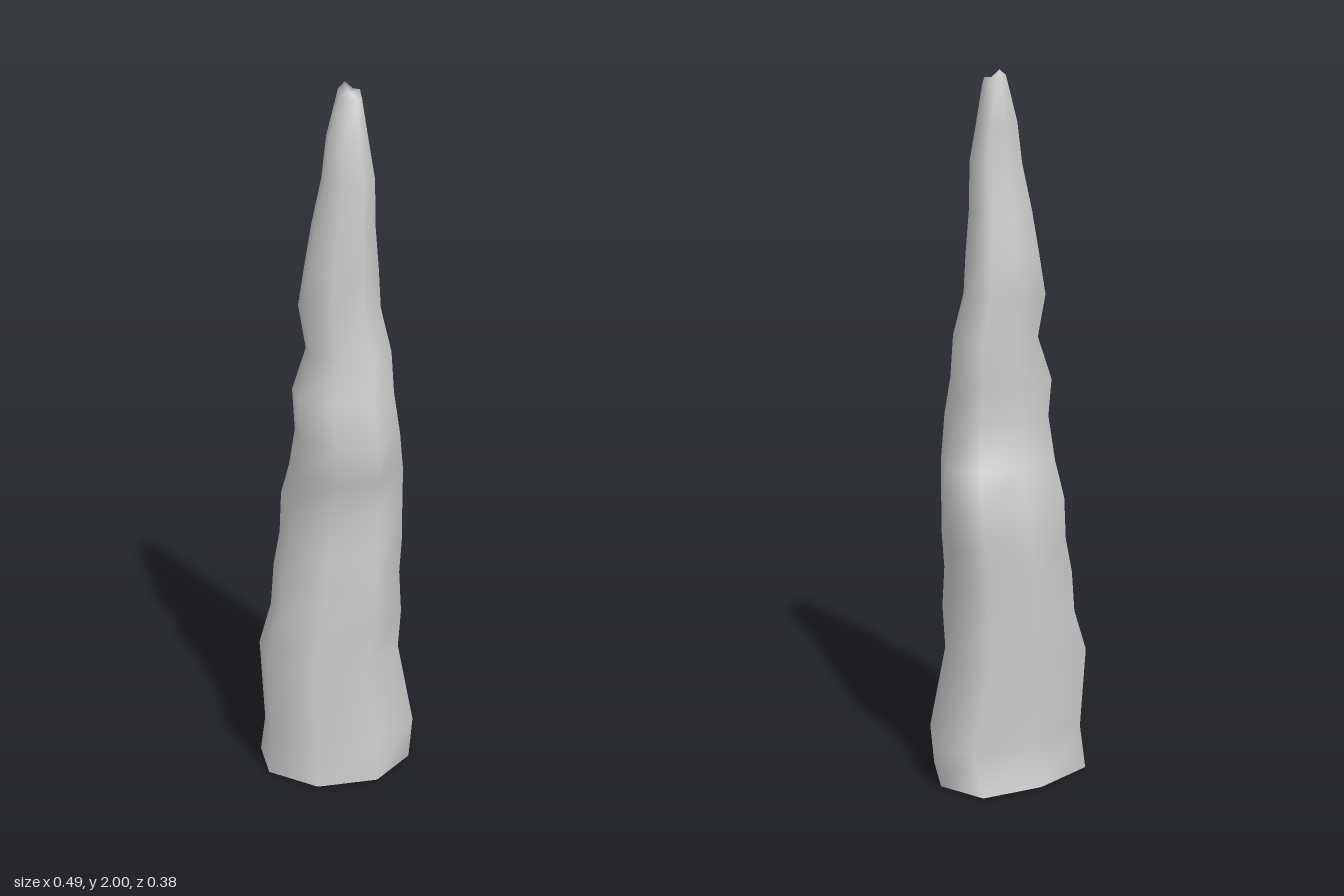
import * as THREE from 'three';

// Eight-sided outline of one ring, scaled to each ring's extents
const OUTLINE = [
  [1, -0.22], [0.72, 0.62], [0.08, 1], [-0.64, 0.74],
  [-1, 0], [-0.82, -0.7], [-0.03, -1], [0.74, -0.92],
];

// Rings from base to tip: height, min x, max x, min z, max z
const RINGS = [
  [0, -0.245, 0.225, -0.19, 0.195],
  [0.12, -0.245, 0.24, -0.155, 0.185],
  [0.36, -0.245, 0.195, -0.175, 0.16],
  [0.48, -0.205, 0.19, -0.17, 0.175],
  [0.6, -0.19, 0.185, -0.175, 0.165],
  [0.7, -0.17, 0.19, -0.17, 0.165],
  [0.82, -0.165, 0.2, -0.165, 0.145],
  [0.92, -0.155, 0.18, -0.125, 0.17],
  [1.04, -0.155, 0.15, -0.08, 0.19],
  [1.15, -0.15, 0.15, -0.1, 0.15],
  [1.27, -0.112, 0.135, -0.075, 0.14],
  [1.39, -0.125, 0.115, -0.09, 0.11],
  [1.5, -0.11, 0.1, -0.075, 0.115],
  [1.62, -0.09, 0.09, -0.06, 0.1],
  [1.75, -0.07, 0.08, -0.03, 0.1],
  [1.86, -0.05, 0.065, -0.03, 0.075],
  [1.96, -0.018, 0.046, -0.008, 0.055],
];

// Skin the rings into one smooth shell, open underneath
function rockGeometry() {
  const n = OUTLINE.length;
  const positions = [];
  const indices = [];
  const last = RINGS.length - 1;

  RINGS.forEach(([y, x0, x1, z0, z1], r) => {
    OUTLINE.forEach(([u, v], i) => {
      // the broken tip rises to a small peak at the back and a lower one at the side
      const lift = r === last ? [0.02, 0, 0, 0, 0.01, 0.025, 0.04, 0.02][i] : 0;
      positions.push((x0 + x1 + u * (x1 - x0)) / 2, y + lift, (z0 + z1 + v * (z1 - z0)) / 2);
    });
  });
  const tip = positions.length / 3;
  positions.push(0.016, 1.975, 0.018);

  for (let r = 0; r <= last; r++) {
    for (let i = 0; i < n; i++) {
      const a = r * n + i;
      const b = r * n + (i + 1) % n;
      if (r < last) indices.push(a, a + n, b, b, a + n, b + n);
      else indices.push(a, tip, b);
    }
  }

  const geometry = new THREE.BufferGeometry();
  geometry.setAttribute('position', new THREE.Float32BufferAttribute(positions, 3));
  geometry.setIndex(indices);
  geometry.computeVertexNormals();
  return geometry;
}

export function createModel() {
  const group = new THREE.Group();
  group.name = 'stalagmite';
  const material = new THREE.MeshStandardMaterial({ color: 0xcccccc, side: THREE.DoubleSide });
  const rock = new THREE.Mesh(rockGeometry(), material);
  rock.name = 'rockSpire';
  group.add(rock);
  return group;
}
